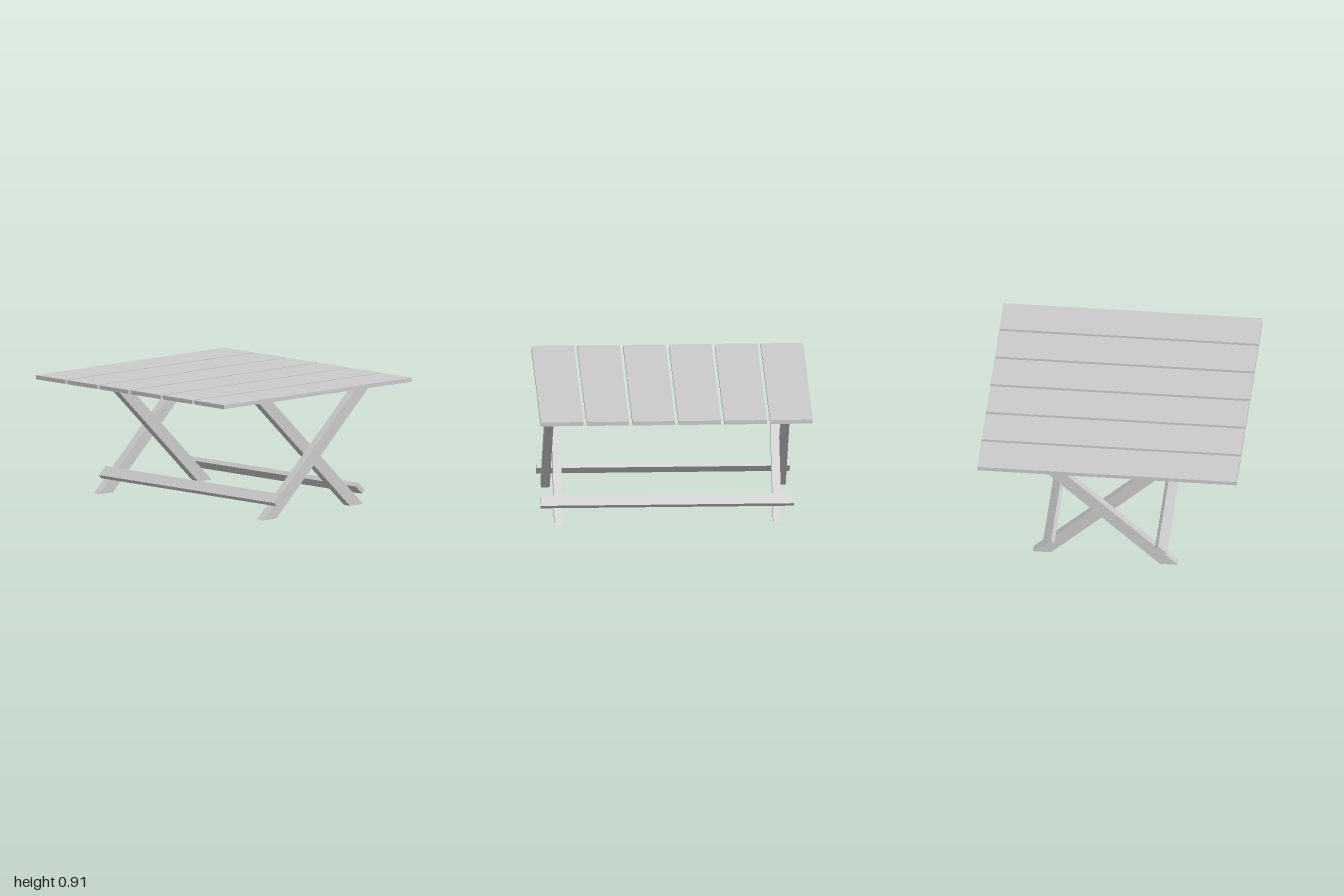
import * as THREE from 'three';

const material = new THREE.MeshStandardMaterial({ color: 0xcccccc, flatShading: true });

const TOP = 0.91, UNDER = 0.88, CENTRE_Z = -0.0285;

// Prism with a side outline of [z, y] points, spanning x0 to x1
function prism(name, outline, x0, x1) {
  const shape = new THREE.Shape(outline.map(([z, y]) => new THREE.Vector2(z, y)));
  const geometry = new THREE.ExtrudeGeometry(shape, { depth: x1 - x0, bevelEnabled: false });
  geometry.rotateY(-Math.PI / 2).translate(x1, 0, 0);
  const mesh = new THREE.Mesh(geometry, material);
  mesh.name = name;
  return mesh;
}

export function createModel() {
  const table = new THREE.Group();
  table.name = 'foldingTable';

  // Tabletop: six planks with narrow gaps
  const tabletop = new THREE.Group();
  tabletop.name = 'tabletop';
  const count = 6, width = 0.313, pitch = (2 - width) / (count - 1);
  for (let i = 0; i < count; i++) {
    const plank = new THREE.Mesh(new THREE.BoxGeometry(width, TOP - UNDER, 1.915), material);
    plank.position.set(-1 + width / 2 + i * pitch, (TOP + UNDER) / 2, 0);
    plank.name = 'plank';
    tabletop.add(plank);
  }
  table.add(tabletop);

  // Two crossing frames: outer legs with feet in front, inner legs with feet behind
  const foot = 0.54, inner = 0.405;
  const run = foot + inner, length = Math.hypot(run, UNDER);
  const along = [-run / length, UNDER / length];
  const out = [UNDER / length, run / length];
  // Point on the leg's upper face, at distance s from the foot and t outward
  const onLeg = (s, t) => [foot + along[0] * s + out[0] * t, along[1] * s + out[1] * t];

  const frames = [
    { name: 'outerFrame', side: 1, legs: [[-0.85, -0.788], [0.886, 0.95]] },
    { name: 'innerFrame', side: -1, legs: [[-0.787, -0.725], [0.822, 0.885]] },
  ];
  for (const { name, side, legs } of frames) {
    const frame = new THREE.Group();
    frame.name = name;
    const place = ([z, y]) => [CENTRE_Z + side * z, y];

    // Slanted legs, cut level at the ground and under the planks
    const leg = [[foot, 0], [-inner, UNDER], [-foot, UNDER], [inner, 0]].map(place);
    for (const [x0, x1] of legs) frame.add(prism('leg', leg, x0, x1));

    // Stretcher rail on the upper face of the legs
    const rail = [onLeg(0.143, 0), onLeg(0.143, 0.036), onLeg(0.232, 0.036), onLeg(0.232, 0)].map(place);
    frame.add(prism('stretcher', rail, -0.88, 0.985));
    table.add(frame);
  }
  return table;
}
